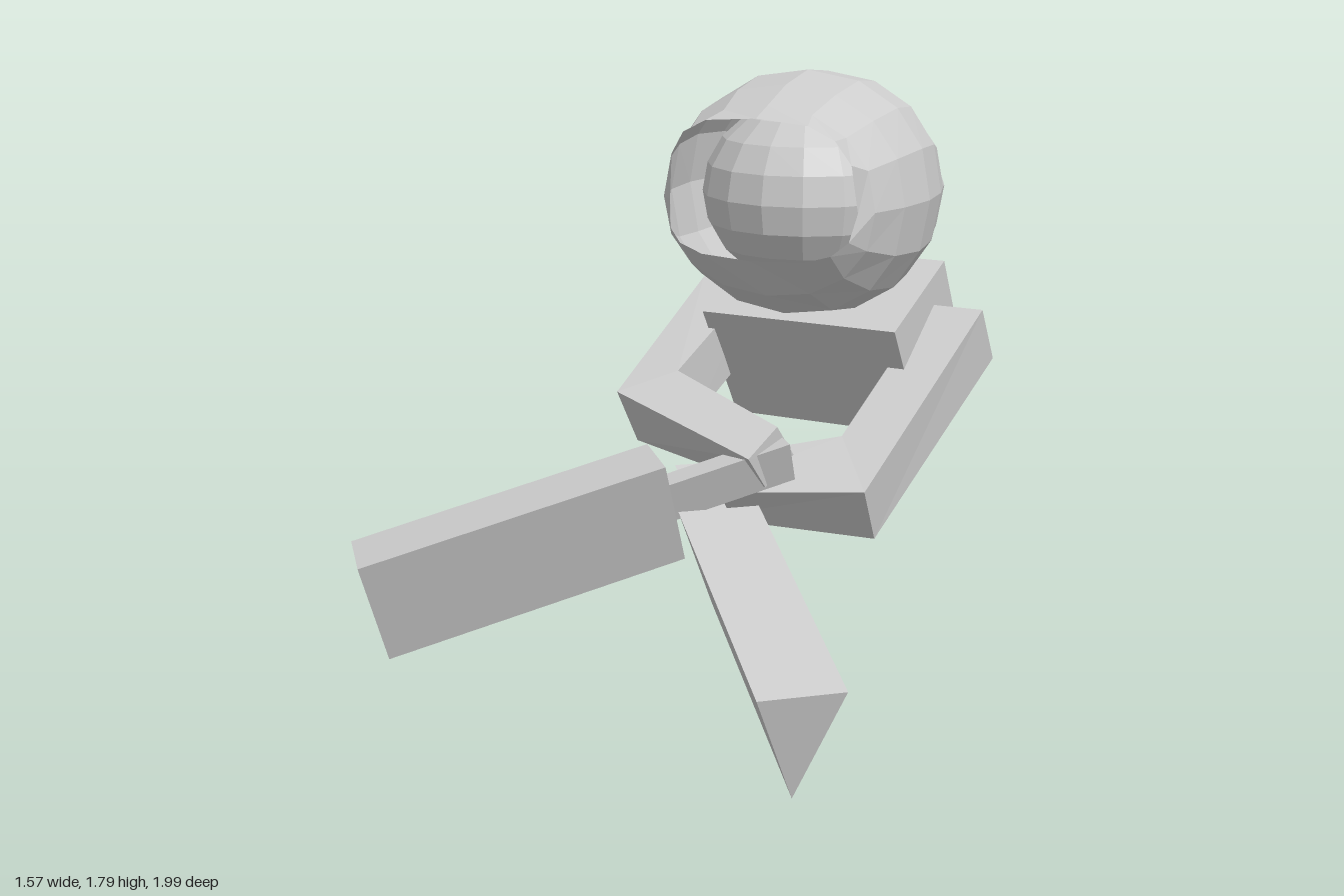
import * as THREE from 'three';

const grey = new THREE.MeshStandardMaterial({ color: 0xcccccc, flatShading: true });
grey.name = 'plainGrey';
const greyOpen = new THREE.MeshStandardMaterial({ color: 0xcccccc, flatShading: true, side: THREE.DoubleSide });
greyOpen.name = 'plainGreyOpen';

// Skin a row of cross-sections (corners clockwise as seen from the last section)
function loft(sections, capStart = true, capEnd = true) {
  const pos = [];
  const tri = (...pts) => pts.forEach((p) => pos.push(...p));
  const n = sections[0].length;
  for (let i = 0; i < sections.length - 1; i++) {
    const P = sections[i], Q = sections[i + 1];
    for (let a = 0; a < n; a++) {
      const b = (a + 1) % n;
      tri(P[a], Q[a], Q[b]);
      tri(P[a], Q[b], P[b]);
    }
  }
  const first = sections[0], last = sections[sections.length - 1];
  for (let k = 1; k < n - 1; k++) {
    if (capStart) tri(first[0], first[k], first[k + 1]);
    if (capEnd) tri(last[0], last[k + 1], last[k]);
  }
  const g = new THREE.BufferGeometry();
  g.setAttribute('position', new THREE.Float32BufferAttribute(pos, 3));
  g.computeVertexNormals();
  return g;
}

// Triangular bar between two points on the middle of its flat top
function prism(from, to, width, depth) {
  const a = new THREE.Vector3(...from), b = new THREE.Vector3(...to);
  const dir = b.clone().sub(a).normalize();
  const side = new THREE.Vector3(0, 1, 0).cross(dir).normalize();
  const down = side.clone().cross(dir).normalize();
  if (down.y > 0) down.negate();
  const section = (p) => [
    p.clone().addScaledVector(side, -width / 2).toArray(),
    p.clone().addScaledVector(side, width / 2).toArray(),
    p.clone().addScaledVector(down, depth).toArray(),
  ];
  return loft([section(a), section(b)]);
}

export function createModel() {
  const model = new THREE.Group();
  const add = (name, geometry, material = grey) => {
    const m = new THREE.Mesh(geometry, material);
    m.name = name;
    model.add(m);
    return m;
  };

  // Torso: a tilted block
  const torsoFace = (yt, zt, yb, zb) => [[-0.23, yt, zt], [0.435, yt, zt], [0.435, yb, zb], [-0.23, yb, zb]];
  add('torso', loft([torsoFace(1.16, -0.775, 0.77, -1.0), torsoFace(1.01, -0.35, 0.615, -0.6)]));

  // Arms: shoulder, mitred elbow and narrower wrist sections
  add('rightArm', loft([
    [[-0.405, 1.045, -0.7], [-0.21, 1.045, -0.7], [-0.21, 0.865, -0.81], [-0.405, 0.865, -0.81]],
    [[-0.352, 0.81, 0], [-0.205, 0.865, -0.13], [-0.2, 0.685, -0.24], [-0.342, 0.625, -0.11]],
    [[0.2, 0.717, 0.196], [0.229, 0.785, 0.06], [0.24, 0.675, -0.035], [0.21, 0.605, 0.1]],
  ]));
  add('leftArm', loft([
    [[0.42, 1.03, -0.69], [0.6, 1.03, -0.69], [0.6, 0.845, -0.81], [0.42, 0.845, -0.81]],
    [[0.338, 0.71, -0.176], [0.488, 0.6, 0], [0.475, 0.417, -0.118], [0.325, 0.525, -0.295]],
    [[-0.04, 0.63, -0.02], [-0.02, 0.56, 0.11], [-0.03, 0.45, 0.015], [-0.05, 0.52, -0.115]],
  ]));

  // Crossed blades with their grips
  add('rightBlade', prism([-0.04, 0.73, 0.32], [-0.705, 0.5, 0.9], 0.245, 0.338));
  add('rightGrip', prism([0.25, 0.745, 0.05], [-0.05, 0.64, 0.32], 0.1, 0.13));
  add('leftBlade', prism([0.125, 0.567, 0.24], [0.692, 0.337, 0.89], 0.245, 0.338));
  add('leftGrip', prism([-0.13, 0.585, -0.07], [0.12, 0.49, 0.22], 0.1, 0.12));

  // Hood: rings from the back to the face opening [z, half width, up, down]
  const rings = [
    [-0.81, 0.17, 0.03, 0.12],
    [-0.765, 0.28, 0.09, 0.25],
    [-0.7, 0.345, 0.16, 0.32],
    [-0.675, 0.35, 0.295, 0.33],
    [-0.55, 0.39, 0.36, 0.365],
    [-0.4, 0.41, 0.376, 0.385],
    [-0.24, 0.392, 0.345, 0.36],
    [-0.11, 0.35, 0.295, 0.28],
    [-0.075, 0.31, 0.265, 0.155],
  ];
  const sides = 16;
  add('hood', loft(rings.map(([z, rx, up, down], row) => {
    const pts = [];
    for (let i = 0; i < sides; i++) {
      const t = (i / sides) * Math.PI * 2;
      const s = Math.sin(t), c = Math.cos(t);
      // the opening is squarer, with brim and chin pushed forward
      const q = row === rings.length - 1 ? 0.65 : 0.92;
      const x = Math.sign(s) * Math.abs(s) ** q * rx;
      const y = Math.sign(c) * Math.abs(c) ** q * (c > 0 ? up : down);
      const forward = row === rings.length - 1 ? Math.abs(c) * (c > 0 ? 0.045 : 0.075) : 0;
      pts.push([0.11 + x, 1.42 + y, z + forward]);
    }
    return pts;
  }), true, false), greyOpen);

  // Face: rounded form inside the hood
  const face = add('face', new THREE.SphereGeometry(1, 16, 10));
  face.scale.set(0.325, 0.29, 0.33);
  face.position.set(0.11, 1.42, -0.4);

  return model;
}
